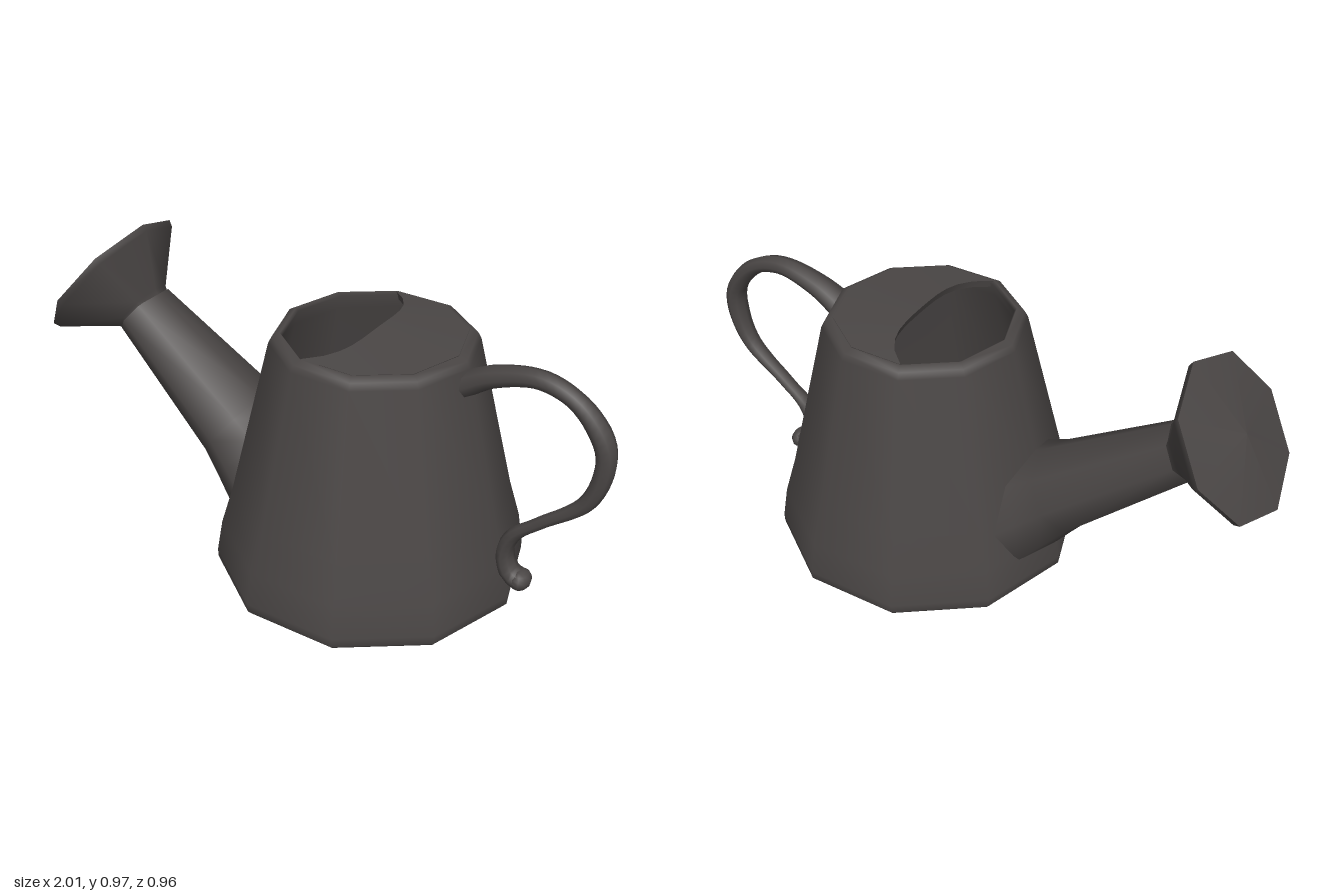
import * as THREE from 'three';

const BODY_X = 0.19;

export function createModel() {
  const group = new THREE.Group();
  const metal = new THREE.MeshStandardMaterial({ color: 0x4a4645, side: THREE.DoubleSide });
  metal.name = 'darkGreyMetal';

  const add = (name, geometry, parent = group) => {
    const mesh = new THREE.Mesh(geometry, metal);
    mesh.name = name;
    parent.add(mesh);
    return mesh;
  };
  // Turned part with a corner on the x axis
  const turned = (points, sides) =>
    new THREE.LatheGeometry(points.map(([r, y]) => new THREE.Vector2(r, y)), sides, Math.PI / 2);

  // Body: ten-sided tapered wall, rounded rim and hollow inside
  const body = add('body', turned([
    [0.495, 0], [0.505, 0.012], [0.506, 0.04], [0.488, 0.15], [0.45, 0.28],
    [0.326, 0.805], [0.315, 0.826], [0.29, 0.838], [0.282, 0.828],
    [0.295, 0.78], [0.42, 0.28], [0.46, 0.05], [0, 0.04],
  ], 10));
  body.position.x = BODY_X;
  const base = add('base', new THREE.CircleGeometry(0.495, 10));
  base.rotation.x = Math.PI / 2;
  base.position.x = BODY_X;

  // Half cover: lofted from the rim to a raised, curved edge with a short lip
  const positions = [], index = [], steps = 12;
  for (let i = 0; i <= steps; i++) {
    const s = (i / steps) * 2 - 1;
    const k = (s + 1) * 3, f = Math.floor(k);
    const corner = (n) => new THREE.Vector2(0.288, 0).rotateAround(new THREE.Vector2(), (n - 3) * Math.PI / 5);
    const rim = corner(f).lerp(corner(f + 1), k - f);
    const x = BODY_X - 0.089 + 0.1 * (1 - s ** 4), z = 0.274 * s;
    const y = 0.838 + 0.018 * (1 - s * s);
    positions.push(BODY_X + rim.x, 0.838, rim.y, x, y, z, x, y, z, x + 0.008, y - 0.025, z);
    if (i < steps) {
      const a = i * 4, b = a + 4;
      for (const j of [0, 2]) index.push(a + j, a + j + 1, b + j, b + j, a + j + 1, b + j + 1);
    }
  }
  const cover = new THREE.BufferGeometry();
  cover.setAttribute('position', new THREE.Float32BufferAttribute(positions, 3));
  cover.setIndex(index);
  cover.computeVertexNormals();
  add('halfCover', cover);

  // Spout: slanted oval cone, flared where it meets the body
  const spout = add('spout', turned([[0.19, -0.7], [0.165, -0.6], [0.142, -0.5], [0.092, 0]], 8));
  spout.position.set(-0.725, 0.665, 0);
  spout.rotation.z = THREE.MathUtils.degToRad(52);
  spout.scale.z = 1.22;

  // Sprinkler head: flared octagonal cone with a slightly domed face
  const head = new THREE.Group();
  head.name = 'sprinklerHead';
  head.position.set(-0.725, 0.665, 0);
  head.rotation.z = THREE.MathUtils.degToRad(53.5);
  group.add(head);
  add('headCone', turned([[0.088, -0.02], [0.1, 0.01], [0.25, 0.15], [0.258, 0.172]], 8), head);
  add('headFace', turned([[0.258, 0.172], [0, 0.21]], 8), head);
  head.scale.z = 1.05;

  // Handle: looping tube whose thickness varies along its length
  const path = new THREE.CatmullRomCurve3([
    [0.5, 0.75], [0.6, 0.805], [0.75, 0.838], [0.87, 0.795], [0.955, 0.69], [0.962, 0.6],
    [0.92, 0.48], [0.78, 0.355], [0.695, 0.275], [0.675, 0.2], [0.7, 0.14], [0.735, 0.125],
  ].map(([x, y]) => new THREE.Vector3(x, y, 0)));
  const radii = [0.042, 0.034, 0.028, 0.026, 0.031, 0.031, 0.026, 0.021, 0.02, 0.027, 0.033];
  const rings = 50, sides = 8;
  const tube = new THREE.TubeGeometry(path, rings, 1, sides);
  const pos = tube.attributes.position, v = new THREE.Vector3();
  for (let i = 0; i <= rings; i++) {
    const centre = path.getPointAt(i / rings);
    const k = (i / rings) * 10, f = Math.min(9, Math.floor(k));
    const r = THREE.MathUtils.lerp(radii[f], radii[f + 1], k - f);
    for (let j = 0; j <= sides; j++) {
      const n = i * (sides + 1) + j;
      v.fromBufferAttribute(pos, n).sub(centre).multiplyScalar(r);
      v.z *= 1.3;
      v.add(centre);
      pos.setXYZ(n, v.x, v.y, v.z);
    }
  }
  add('handle', tube);
  const tip = add('handleTip', new THREE.SphereGeometry(0.034, 10, 8));
  tip.position.set(0.735, 0.126, 0);
  tip.scale.z = 1.3;

  return group;
}
